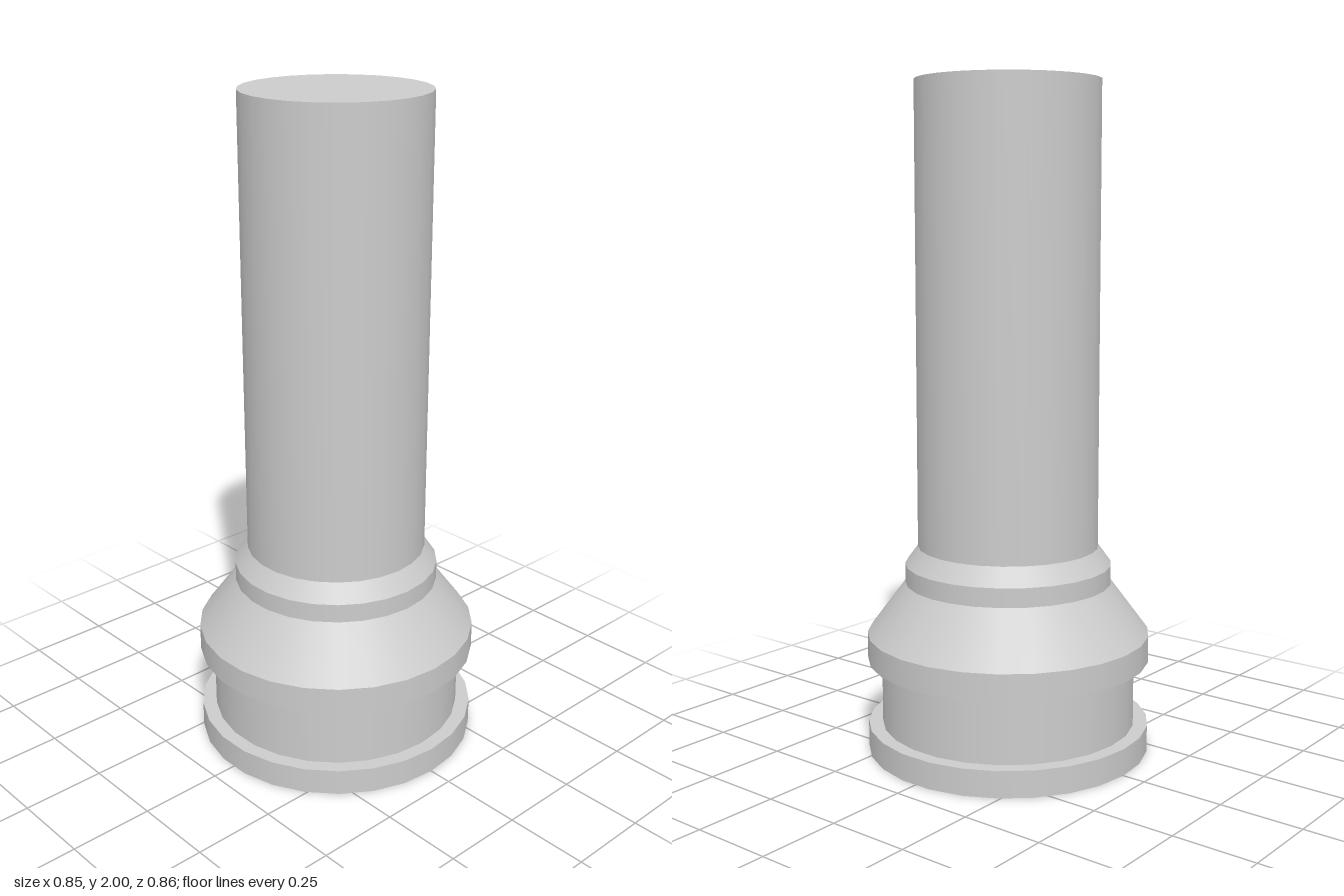
import * as THREE from 'three';
import { mergeGeometries } from 'three/addons/utils/BufferGeometryUtils.js';

const SIDES = 26;

// Revolve each profile segment separately: smooth around, crisp between bands
function turned(name, profile, material) {
  const bands = [];
  for (let i = 0; i < profile.length - 1; i++) {
    const pair = [profile[i], profile[i + 1]].map(([r, y]) => new THREE.Vector2(r, y));
    bands.push(new THREE.LatheGeometry(pair, SIDES));
  }
  const mesh = new THREE.Mesh(mergeGeometries(bands), material);
  mesh.name = name;
  return mesh;
}

export function createModel() {
  const group = new THREE.Group();
  group.name = 'column';
  const material = new THREE.MeshStandardMaterial({ color: 0xcccccc });

  // profiles are [radius, height], running from the underside upwards
  const parts = {
    // foot ring with a shallow recess underneath
    footFlange: [[0, 0.07], [0.314, 0.07], [0.314, 0], [0.428, 0], [0.428, 0.08], [0.385, 0.08]],
    // neck of the groove
    grooveBody: [[0.385, 0.08], [0.385, 0.28]],
    // overhanging rim and sloping shoulder
    shoulder: [[0.385, 0.28], [0.428, 0.28], [0.428, 0.36], [0.312, 0.515]],
    // small collar, chamfered into the shaft
    collar: [[0.312, 0.515], [0.312, 0.572], [0.273, 0.625]],
    // long plain shaft with a flat top
    shaft: [[0.273, 0.625], [0.273, 2], [0, 2]],
  };
  for (const [name, profile] of Object.entries(parts)) {
    group.add(turned(name, profile, material));
  }
  return group;
}
